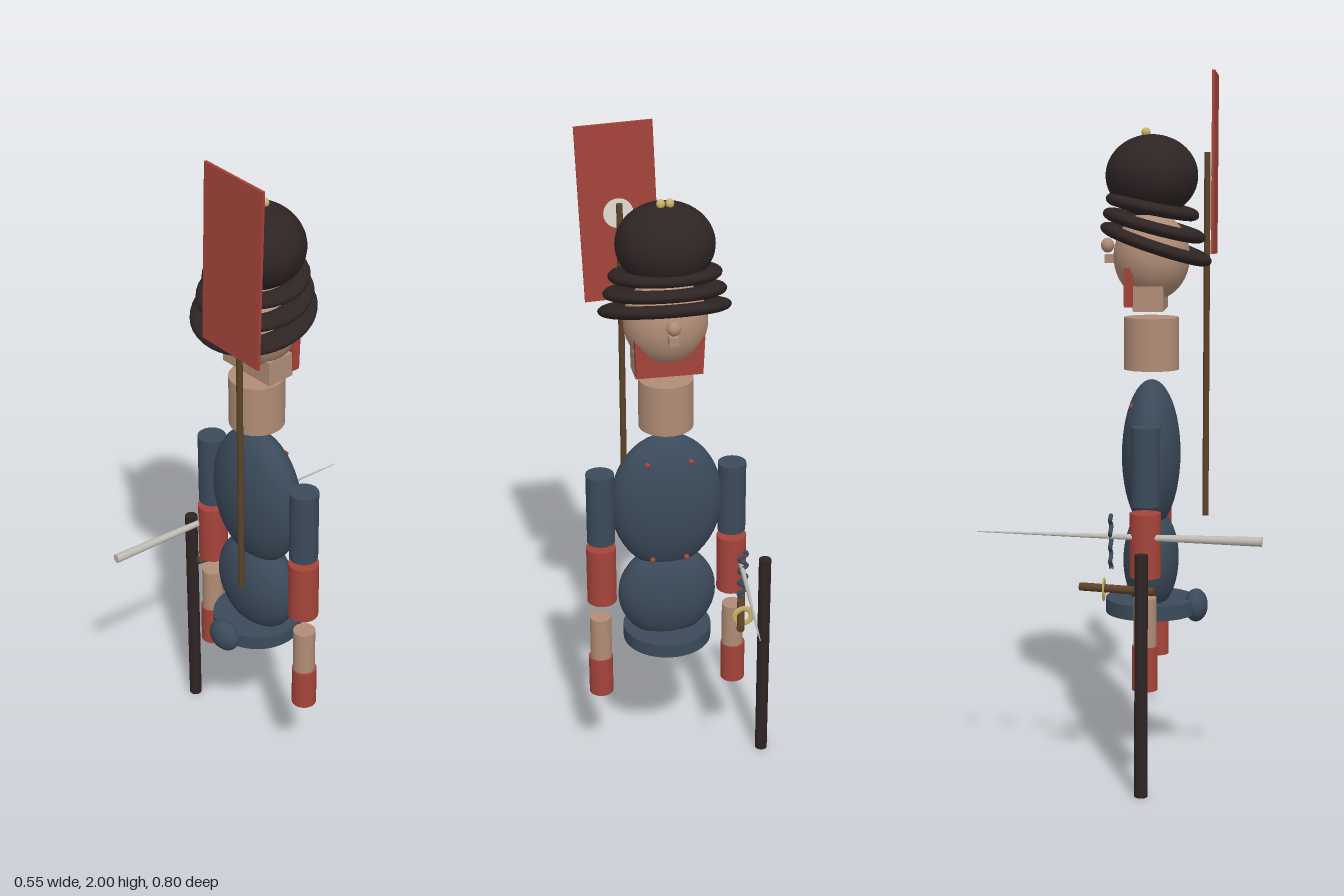
import * as THREE from 'three';

const mat = (name, color, side = THREE.FrontSide) => {
  const m = new THREE.MeshStandardMaterial({ color, side });
  m.name = name;
  return m;
};

export function createModel() {
  const model = new THREE.Group();
  model.name = 'armouredFigure';

  const black = mat('blackLacquer', 0x2e2424);
  const blue = mat('armourBlue', 0x3b4a5a);
  const red = mat('clothRed', 0xa5443a);
  const skin = mat('skin', 0xb08c76);
  const brown = mat('woodBrown', 0x5c4228);
  const gold = mat('gold', 0xc8b268);
  const steel = mat('steel', 0xbcbab2);
  const cream = mat('cream', 0xe2ddd0);

  const CX = 0.035, CZ = 0.075; // body axis

  const add = (name, geometry, material, x, y, z) => {
    const mesh = new THREE.Mesh(geometry, material);
    mesh.name = name;
    mesh.position.set(x, y, z);
    model.add(mesh);
    return mesh;
  };
  const ellipsoid = (name, material, x, y, z, rx, ry, rz, seg = 32) => {
    const m = add(name, new THREE.SphereGeometry(1, seg, seg * 0.75), material, x, y, z);
    m.scale.set(rx, ry, rz);
    return m;
  };
  // upright cylinder between two heights
  const post = (name, material, x, z, y0, y1, r, seg = 24) =>
    add(name, new THREE.CylinderGeometry(r, r, y1 - y0, seg), material, x, (y0 + y1) / 2, z);
  // tapered rod from point a to point b
  const rod = (name, material, a, b, ra, rb, seg) => {
    const from = new THREE.Vector3(...a), to = new THREE.Vector3(...b);
    const dir = to.clone().sub(from);
    const mid = from.clone().add(to).multiplyScalar(0.5);
    const m = add(name, new THREE.CylinderGeometry(rb, ra, dir.length(), seg), material, mid.x, mid.y, mid.z);
    m.quaternion.setFromUnitVectors(new THREE.Vector3(0, 1, 0), dir.normalize());
    return m;
  };

  // Body
  ellipsoid('torso', blue, CX, 0.915, CZ, 0.163, 0.215, 0.083);
  ellipsoid('hips', blue, CX, 0.612, CZ, 0.145, 0.15, 0.079);
  post('skirtDisc', blue, CX, CZ, 0.456, 0.498, 0.13, 40);
  ellipsoid('sashKnot', blue, CX, 0.477, 0.205, 0.053, 0.047, 0.034);
  post('neck', skin, CX, CZ, 1.16, 1.308, 0.078, 32);

  // Limbs, mirrored about the body axis
  for (const s of [-1, 1]) {
    post('upperArm', blue, CX + s * 0.193, CZ, 0.8, 1.02, 0.041);
    post('forearm', red, CX + s * 0.194, CZ, 0.6, 0.78, 0.0435);
    post('lowerLeg', skin, CX + s * 0.2, CZ, 0.4, 0.542, 0.032);
    post('boot', red, CX + s * 0.202, CZ, 0.28, 0.405, 0.036);
    // lacing studs
    ellipsoid('upperStud', red, CX + s * 0.063, 1.06, 0.025, 0.008, 0.008, 0.008, 12);
    ellipsoid('lowerStud', red, CX + s * 0.05, 0.748, 0.025, 0.008, 0.008, 0.008, 12);
  }

  // Head and face
  ellipsoid('head', skin, CX, 1.48, CZ, 0.118, 0.125, 0.108);
  add('jaw', new THREE.BoxGeometry(0.186, 0.07, 0.085), skin, CX, 1.365, 0.072);
  ellipsoid('nose', skin, CX, 1.51, -0.05, 0.02, 0.021, 0.019, 16);
  add('noseBase', new THREE.BoxGeometry(0.026, 0.024, 0.028), skin, CX, 1.472, -0.043);

  // Face mask: a plate with a raised peak on each cheek
  const mask = new THREE.Shape();
  mask.moveTo(-0.093, 0);
  mask.lineTo(0.093, 0);
  mask.lineTo(0.098, 0.11);
  mask.lineTo(0.04, 0.045);
  mask.lineTo(-0.04, 0.045);
  mask.lineTo(-0.098, 0.11);
  add('faceMask', new THREE.ExtrudeGeometry(mask, { depth: 0.026, bevelEnabled: false }), red, CX, 1.342, 0.005);

  // Helmet: dome over three tilted neck-guard rings
  ellipsoid('helmetDome', black, CX, 1.705, CZ, 0.137, 0.115, 0.13, 40);
  for (let i = 0; i < 3; i++) {
    const pivot = new THREE.Group();
    pivot.name = 'neckGuard';
    const ring = new THREE.Mesh(new THREE.TorusGeometry(1, 0.24, 16, 40), black);
    ring.name = 'neckGuardRing';
    ring.rotation.x = Math.PI / 2;
    ring.scale.set(0.127 + i * 0.0115, 0.108 + i * 0.0125, 0.075);
    pivot.add(ring);
    pivot.position.set(CX, 1.618 - i * 0.052, 0.077 + i * 0.005);
    pivot.rotation.x = 0.2 + i * 0.06;
    model.add(pivot);
  }
  for (const s of [-1, 1]) {
    ellipsoid('crestKnob', gold, CX + 0.002 + s * 0.0125, 1.825, 0.058, 0.012, 0.013, 0.012, 16);
  }

  // Banner and its pole
  post('bannerPole', brown, 0.134, 0.225, 0.722, 1.77, 0.009, 12);
  const banner = add('banner', new THREE.BoxGeometry(0.216, 0.51, 0.008), red, 0.135, 1.738, 0.246);
  banner.rotation.z = -0.04;
  const disc = add('bannerDisc', new THREE.CylinderGeometry(0.042, 0.042, 0.006, 32), cream, 0.135, 1.738, 0.24);
  disc.rotation.x = Math.PI / 2;

  // Standing staff
  post('staff', black, -0.262, 0.073, 0, 0.683, 0.0185, 20);

  // Sword blade, hilt and guard
  rod('blade', steel, [-0.209, 0.715, 0.4], [-0.138, 0.715, -0.4], 0.0135, 0.0015, 12);
  rod('hilt', brown, [-0.198, 0.566, 0.104], [-0.149, 0.566, -0.109], 0.0115, 0.0115, 16);
  const guard = add('guard', new THREE.TorusGeometry(0.025, 0.009, 10, 28), gold, -0.173, 0.565, -0.039);
  guard.scale.z = 0.35;

  // Hanging cord, twisted and flat
  const pts = [];
  for (let i = 0; i <= 32; i++) {
    pts.push(new THREE.Vector3(0.012 * Math.sin(i * Math.PI / 4), i * 0.155 / 32, 0.001 * Math.cos(i * Math.PI / 4)));
  }
  add('cord', new THREE.TubeGeometry(new THREE.CatmullRomCurve3(pts), 96, 0.006, 8), blue, -0.173, 0.62, -0.02);

  return model;
}
